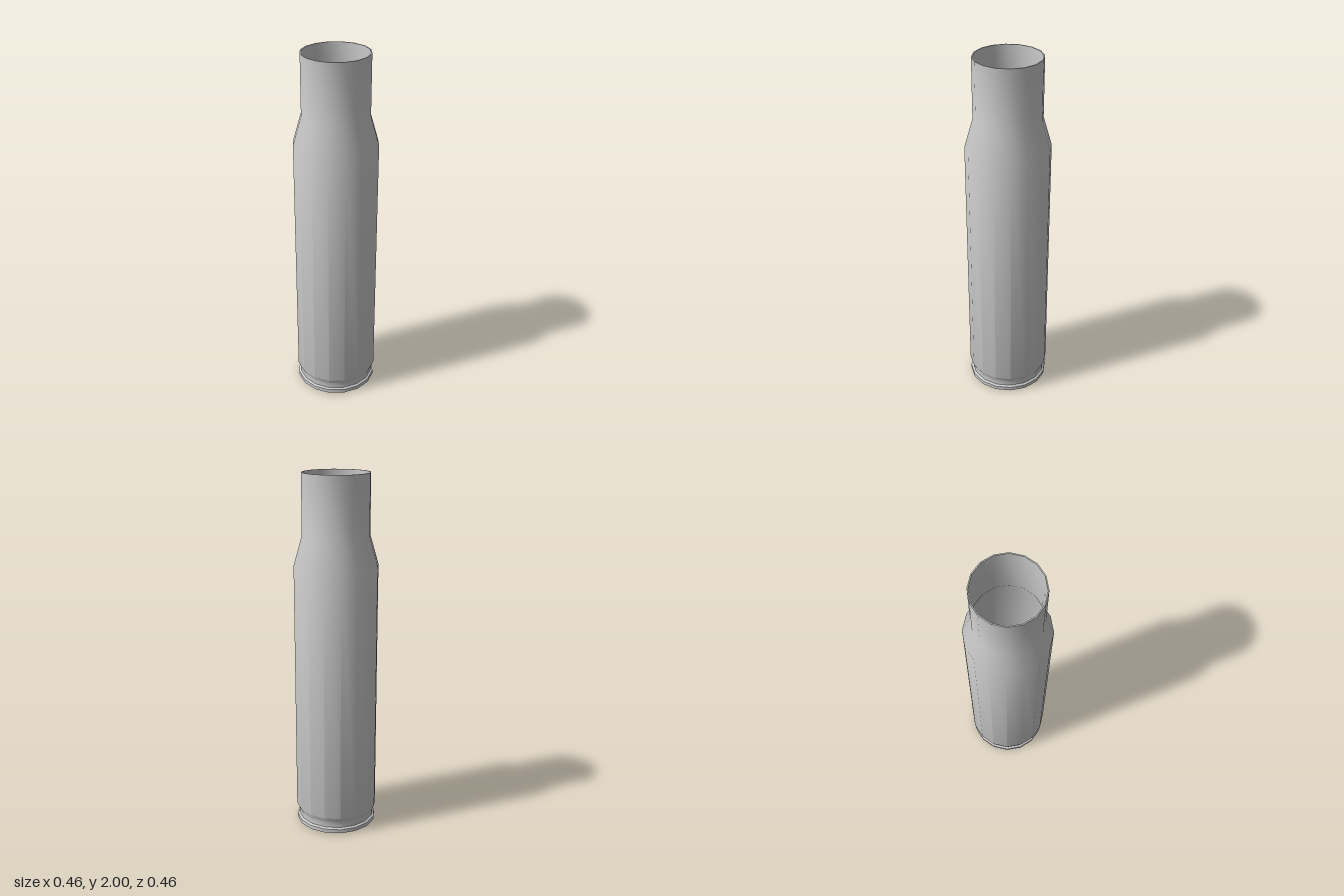
import * as THREE from 'three';
import { toCreasedNormals } from 'three/addons/utils/BufferGeometryUtils.js';

const SIDES = 16;

export function createModel() {
  const group = new THREE.Group();
  group.name = 'emptyCase';
  const metal = new THREE.MeshStandardMaterial({ color: 0xcccccc });
  metal.name = 'paleMetal';

  // Turns a [radius, height] profile, keeping only the hard edges sharp
  function turned(name, profile) {
    const points = profile.map(([r, y]) => new THREE.Vector2(r, y));
    const geometry = toCreasedNormals(new THREE.LatheGeometry(points, SIDES), Math.PI / 6);
    const mesh = new THREE.Mesh(geometry, metal);
    mesh.name = name;
    group.add(mesh);
  }

  // Raised disc in the middle of the base
  turned('primer', [[0, 0], [0.108, 0], [0.108, 0.012]]);

  // Base plate and extractor rim
  turned('rim', [[0, 0.008], [0.226, 0.008], [0.226, 0.03], [0.215, 0.038]]);

  // Groove, body, shoulder and neck
  turned('outerWall', [
    [0.215, 0.038], [0.215, 0.07], [0.23, 0.1],
    [0.23, 1.51], [0.184, 1.67], [0.184, 2],
  ]);

  // Thin lip at the mouth
  turned('mouthLip', [[0.184, 2], [0.178, 2]]);

  // Hollow inside, following the outer wall down to a flat floor
  turned('innerWall', [
    [0.178, 2], [0.178, 1.67], [0.224, 1.51], [0.224, 0.11], [0, 0.11],
  ]);

  return group;
}
